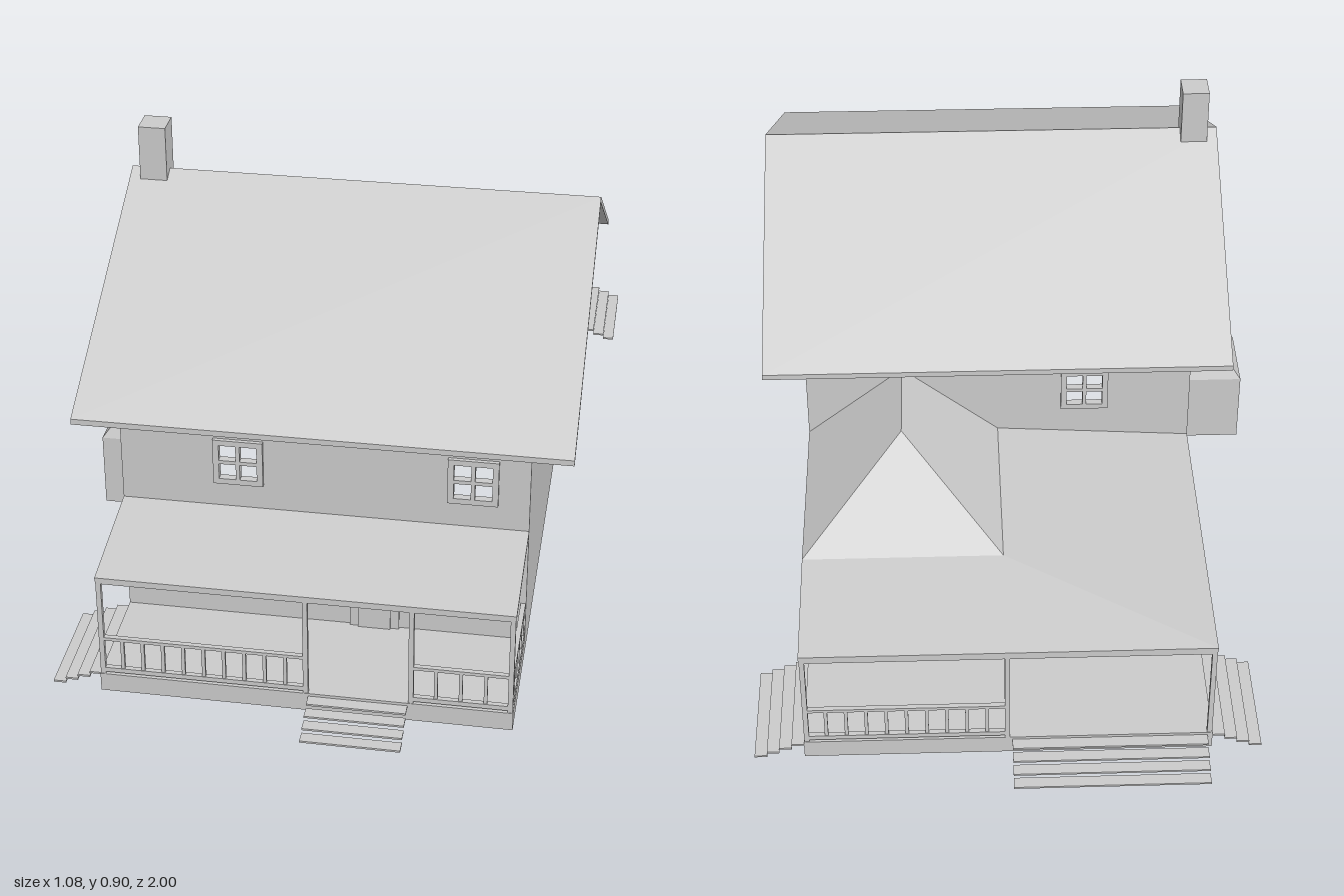
import * as THREE from 'three';

const mat = new THREE.MeshStandardMaterial({ color: 0xcccccc, flatShading: true, side: THREE.DoubleSide });

// Main plan lines: house sides, front wall, back wall, wing end
const XL = -0.38, XR = 0.435, ZF = 0.66, ZB = -0.245, ZW = -0.65, PORCH = 0.9;
const EAVE = 0.538, RIDGE_Z = 0.165, RIDGE_Y = 0.785, LOW = 0.3;
const WX = 0.03, WM = 0.232, WING_Y = 0.465;
const FLOOR = 0.04, UP = 0.405, DOWN = 0.19;

function add(parent, name, geo) {
  const m = new THREE.Mesh(geo, mat);
  m.name = name;
  parent.add(m);
  return m;
}

// Box given by its min and max corners
function box(parent, name, x0, x1, y0, y1, z0, z1) {
  const m = add(parent, name, new THREE.BoxGeometry(x1 - x0, y1 - y0, z1 - z0));
  m.position.set((x0 + x1) / 2, (y0 + y1) / 2, (z0 + z1) / 2);
  return m;
}

// Stack of polygon rings joined by side faces and closed by both caps
function loft(rings) {
  const n = rings[0].length, idx = [];
  rings.slice(1).forEach((_, r) => {
    for (let i = 0; i < n; i++) {
      const a = r * n + i, b = r * n + (i + 1) % n;
      idx.push(a, b, b + n, a, b + n, a + n);
    }
  });
  const top = (rings.length - 1) * n;
  for (let i = 1; i < n - 1; i++) idx.push(0, i + 1, i, top, top + i, top + i + 1);
  const g = new THREE.BufferGeometry();
  g.setAttribute('position', new THREE.Float32BufferAttribute(rings.flat(2), 3));
  g.setIndex(idx);
  const flat = g.toNonIndexed();
  flat.computeVertexNormals();
  return flat;
}

// Sloped roof panel from its top outline (counter-clockwise from above)
function panel(parent, name, pts, t = 0.01) {
  return add(parent, name, loft([pts.map(([x, y, z]) => [x, y - t, z]), pts]));
}

function rectPath(u, v, w, h) {
  return new THREE.Path([[-1, -1], [-1, 1], [1, 1], [1, -1]].map(([a, b]) =>
    new THREE.Vector2(u + a * w / 2, v + b * h / 2)));
}

// Window frame with four open panes
function windowFrame(parent, u, v) {
  const s = new THREE.Shape(rectPath(0, 0, 0.1, 0.1).getPoints());
  for (const a of [-1, 1]) for (const b of [-1, 1]) s.holes.push(rectPath(a * 0.021, b * 0.021, 0.034, 0.034));
  const g = new THREE.ExtrudeGeometry(s, { depth: 0.016, bevelEnabled: false });
  add(parent, 'windowFrame', g).position.set(u, v, -0.008);
}

// Thin wall with window openings; along z when side is true
function wall(parent, name, outline, windows, side, offset) {
  const g = new THREE.Group();
  g.name = name;
  const s = new THREE.Shape(outline.map(p => new THREE.Vector2(...p)));
  for (const [u, v] of windows) {
    s.holes.push(rectPath(u, v, 0.088, 0.088));
    windowFrame(g, u, v);
  }
  add(g, name + 'Surface', new THREE.ShapeGeometry(s));
  if (side) { g.rotation.y = -Math.PI / 2; g.position.x = offset; } else g.position.z = offset;
  parent.add(g);
}

// Straight bar between two plan points
function bar(parent, name, [ax, az], [bx, bz], y0, y1, w = 0.01) {
  const h = w / 2;
  box(parent, name, Math.min(ax, bx) - h, Math.max(ax, bx) + h, y0, y1, Math.min(az, bz) - h, Math.max(az, bz) + h);
}

function railing(parent, a, b, n) {
  bar(parent, 'bottomRail', a, b, 0.045, 0.055);
  bar(parent, 'topRail', a, b, 0.12, 0.127);
  for (let i = 0; i <= n; i++) {
    const p = [a[0] + (b[0] - a[0]) * i / n, a[1] + (b[1] - a[1]) * i / n];
    bar(parent, 'baluster', p, p, 0.05, 0.122, 0.007);
  }
}

// Four thin open treads going down in direction dx, dz
function steps(parent, name, x0, x1, z0, z1, dx, dz) {
  const g = new THREE.Group();
  g.name = name;
  for (let i = 0; i < 4; i++) {
    const y = 0.034 - i * 0.01, d = 0.025 * i, e = d + 0.025;
    if (dx) box(g, 'tread', Math.min(x0 + dx * d, x0 + dx * e), Math.max(x0 + dx * d, x0 + dx * e), y - 0.004, y, z0, z1);
    else box(g, 'tread', x0, x1, y - 0.004, y, Math.min(z0 + dz * d, z0 + dz * e), Math.max(z0 + dz * d, z0 + dz * e));
  }
  parent.add(g);
}

function posts(parent, list) {
  for (const p of list) bar(parent, 'post', p, p, FLOOR, 0.262);
}

export function createModel() {
  const house = new THREE.Group();
  house.name = 'house';

  // Walls
  wall(house, 'frontWall', [[XL, 0], [XR, 0], [XR, EAVE], [XL, EAVE]],
    [[-0.143, UP], [-0.143, DOWN], [0.323, UP], [0.323, DOWN]], false, ZF);
  wall(house, 'backWall', [[XL, 0], [WX, 0], [WX, LOW], [WM, WING_Y], [XR, LOW], [XR, EAVE], [XL, EAVE]],
    [[-0.155, UP]], false, ZB);
  const gable = [[ZF, 0], [ZF, EAVE], [RIDGE_Z, RIDGE_Y], [ZB, EAVE]];
  wall(house, 'rightWall', [...gable, [ZB, 0]],
    [[0.53, UP], [0.53, DOWN], [0.32, UP], [-0.08, UP], [-0.08, DOWN]], true, XL);
  wall(house, 'leftWall', [...gable, [ZB, LOW], [ZW, LOW], [ZW, 0]], [[0.39, UP], [-0.05, DOWN]], true, XR);
  wall(house, 'wingInnerWall', [[ZB, 0], [ZB, LOW], [ZW, LOW], [ZW, 0]], [], true, WX);
  wall(house, 'wingBackWall', [[WX, 0], [XR, 0], [XR, LOW], [WX, LOW]], [[0.31, DOWN]], false, ZW);

  // Front door
  box(house, 'doorFrame', 0.08, 0.18, FLOOR, 0.24, ZF, ZF + 0.006);
  box(house, 'door', 0.097, 0.163, FLOOR, 0.223, ZF, ZF + 0.01);

  // Main roof
  const r0 = -0.46, r1 = 0.52, ry = 0.797;
  panel(house, 'frontRoof', [[r0, 0.512, 0.725], [r1, 0.512, 0.725], [r1, ry, RIDGE_Z], [r0, ry, RIDGE_Z]], 0.012);
  panel(house, 'backRoof', [[r0, ry, RIDGE_Z], [r1, ry, RIDGE_Z], [r1, 0.51, -0.315], [r0, 0.51, -0.315]], 0.012);

  // Hipped wing roof
  const h = [WM, WING_Y, -0.45], k = [WM, WING_Y, ZB];
  panel(house, 'wingRoofLeft', [[XR, LOW, ZB], [XR, LOW, ZW], h, k], 0.004);
  panel(house, 'wingRoofRight', [[WX, LOW, ZW], [WX, LOW, ZB], k, h], 0.004);
  panel(house, 'wingRoofBack', [[XR, LOW, ZW], [WX, LOW, ZW], h], 0.004);

  // Chimney: wide base, shoulders and narrow stack
  const levels = [[0, -0.54, 0.08, 0.24], [0.165, -0.54, 0.08, 0.24], [0.25, -0.477, 0.118, 0.207],
    [0.575, -0.477, 0.118, 0.207], [0.6, -0.437, 0.135, 0.195], [0.9, -0.437, 0.135, 0.195]];
  add(house, 'chimney', loft(levels.map(([y, x, z0, z1]) => [[x, y, z1], [XL, y, z1], [XL, y, z0], [x, y, z0]])));

  // Front porch
  const front = new THREE.Group();
  front.name = 'frontPorch';
  house.add(front);
  const pl = XL + 0.006, pr = XR - 0.006, pz = PORCH - 0.006;
  box(front, 'porchFloor', XL, XR, 0, FLOOR, ZF, PORCH);
  panel(front, 'porchRoof', [[XL, 0.268, PORCH], [XR, 0.268, PORCH], [XR, LOW, ZF], [XL, LOW, ZF]], 0.008);
  posts(front, [[pl, pz], [0.03, pz], [0.236, pz], [pr, pz]]);
  bar(front, 'beam', [pl, pz], [pr, pz], 0.254, 0.263);
  railing(front, [pl, pz], [0.03, pz], 10);
  railing(front, [0.236, pz], [pr, pz], 4);
  railing(front, [pr, pz], [pr, ZF + 0.005], 5);
  steps(front, 'frontSteps', 0.035, 0.23, PORCH, 0, 0, 1);
  steps(front, 'frontSideSteps', XL, 0, ZF + 0.005, PORCH - 0.01, -1, 0);

  // Wraparound back porch
  const back = new THREE.Group();
  back.name = 'backPorch';
  house.add(back);
  box(back, 'porchFloor', XL, XR, 0, FLOOR, -PORCH, ZW);
  box(back, 'porchSideFloor', XL, WX, 0, FLOOR, ZW, ZB);
  panel(back, 'porchRoofBack', [[XR, LOW, ZW], [XR, 0.273, -PORCH], [XL, 0.273, -PORCH], [WX, LOW, ZW]]);
  panel(back, 'porchRoofSide', [[WX, LOW, ZB], [WX, LOW, ZW], [XL, 0.273, -PORCH], [XL, 0.273, ZB]]);
  posts(back, [[pr, -pz], [WX, -pz], [pl, -pz], [pl, -0.66]]);
  bar(back, 'beam', [pl, -pz], [pr, -pz], 0.256, 0.265);
  bar(back, 'beam', [pl, -pz], [pl, ZB - 0.005], 0.256, 0.265);
  railing(back, [pr, -pz], [WX, -pz], 10);
  railing(back, [pl, -0.66], [pl, ZB - 0.005], 10);
  steps(back, 'backSteps', -0.37, 0.02, -PORCH, 0, 0, -1);
  steps(back, 'backRightSteps', XL, 0, -PORCH, -0.67, -1, 0);
  steps(back, 'backLeftSteps', XR, 0, -PORCH, -0.67, 1, 0);

  return house;
}
